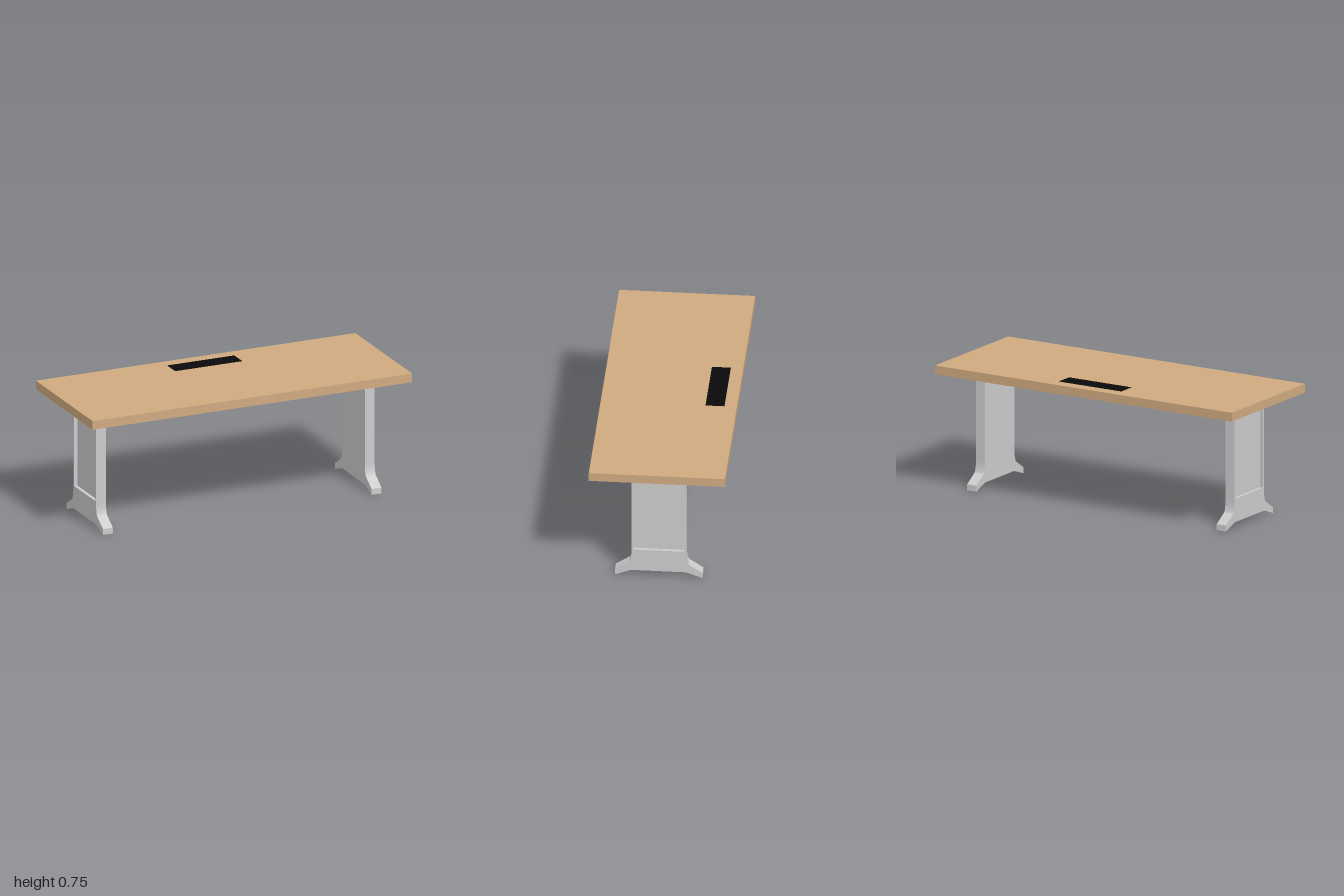
import * as THREE from 'three';
import { toCreasedNormals } from 'three/addons/utils/BufferGeometryUtils.js';

const TOP = 0.747, UNDER = 0.695;      // table top heights
const LEG_IN = 0.81, LEG_OUT = 0.872;  // leg extent along x
const RECESS = 0.02;                   // depth of the panel recess

// Leg outline: straight column flaring into two splayed feet
function legOutline() {
  const s = new THREE.Shape();
  s.moveTo(-0.156, UNDER);
  s.lineTo(-0.156, 0.157);
  s.quadraticCurveTo(-0.156, 0.115, -0.169, 0.088);
  s.lineTo(-0.25, 0.035);
  s.lineTo(-0.25, 0);
  s.lineTo(-0.156, 0.034);
  s.lineTo(0.156, 0.034);
  s.lineTo(0.25, 0);
  s.lineTo(0.25, 0.035);
  s.lineTo(0.169, 0.088);
  s.quadraticCurveTo(0.156, 0.115, 0.156, 0.157);
  s.lineTo(0.156, UNDER);
  s.closePath();
  return s;
}

// Extrudes a side profile along +x, from x0 to x1
function extrudeX(shape, x0, x1) {
  const g = new THREE.ExtrudeGeometry(shape, { depth: x1 - x0, bevelEnabled: false, curveSegments: 6 });
  g.rotateY(Math.PI / 2).translate(x0, 0, 0);
  return toCreasedNormals(g, Math.PI / 9);
}

function mesh(name, geometry, material) {
  const m = new THREE.Mesh(geometry, material);
  m.name = name;
  return m;
}

export function createModel() {
  const desk = new THREE.Group();
  desk.name = 'desk';
  const grey = new THREE.MeshStandardMaterial({ color: 0xcccccc });
  const wood = new THREE.MeshStandardMaterial({ color: 0xd0aa80 });
  const black = new THREE.MeshStandardMaterial({ color: 0x0a0a0a });

  // Table top
  const top = mesh('tableTop', new THREE.BoxGeometry(2, TOP - UNDER, 0.778), wood);
  top.position.y = (TOP + UNDER) / 2;
  desk.add(top);

  // Cable hatch near the back edge, almost flush with the top
  const hatch = mesh('cableHatch', new THREE.BoxGeometry(0.42, 0.004, 0.108), black);
  hatch.position.set(0, TOP - 0.001, -0.264);
  desk.add(hatch);

  // Solid inner half of a leg, and outer frame around a recessed panel
  const plate = extrudeX(legOutline(), LEG_IN, LEG_OUT - RECESS);
  const framed = legOutline();
  framed.holes.push(new THREE.Path([
    new THREE.Vector2(-0.145, 0.171), new THREE.Vector2(0.145, 0.171),
    new THREE.Vector2(0.145, 0.679), new THREE.Vector2(-0.145, 0.679),
  ]));
  const frame = extrudeX(framed, LEG_OUT - RECESS, LEG_OUT);

  // Both legs, recess facing outwards
  for (const [name, turn] of [['leftLeg', 0], ['rightLeg', Math.PI]]) {
    const leg = new THREE.Group();
    leg.name = name;
    leg.add(mesh('legPanel', plate, grey), mesh('legFrame', frame, grey));
    leg.rotation.y = turn;
    desk.add(leg);
  }
  return desk;
}
